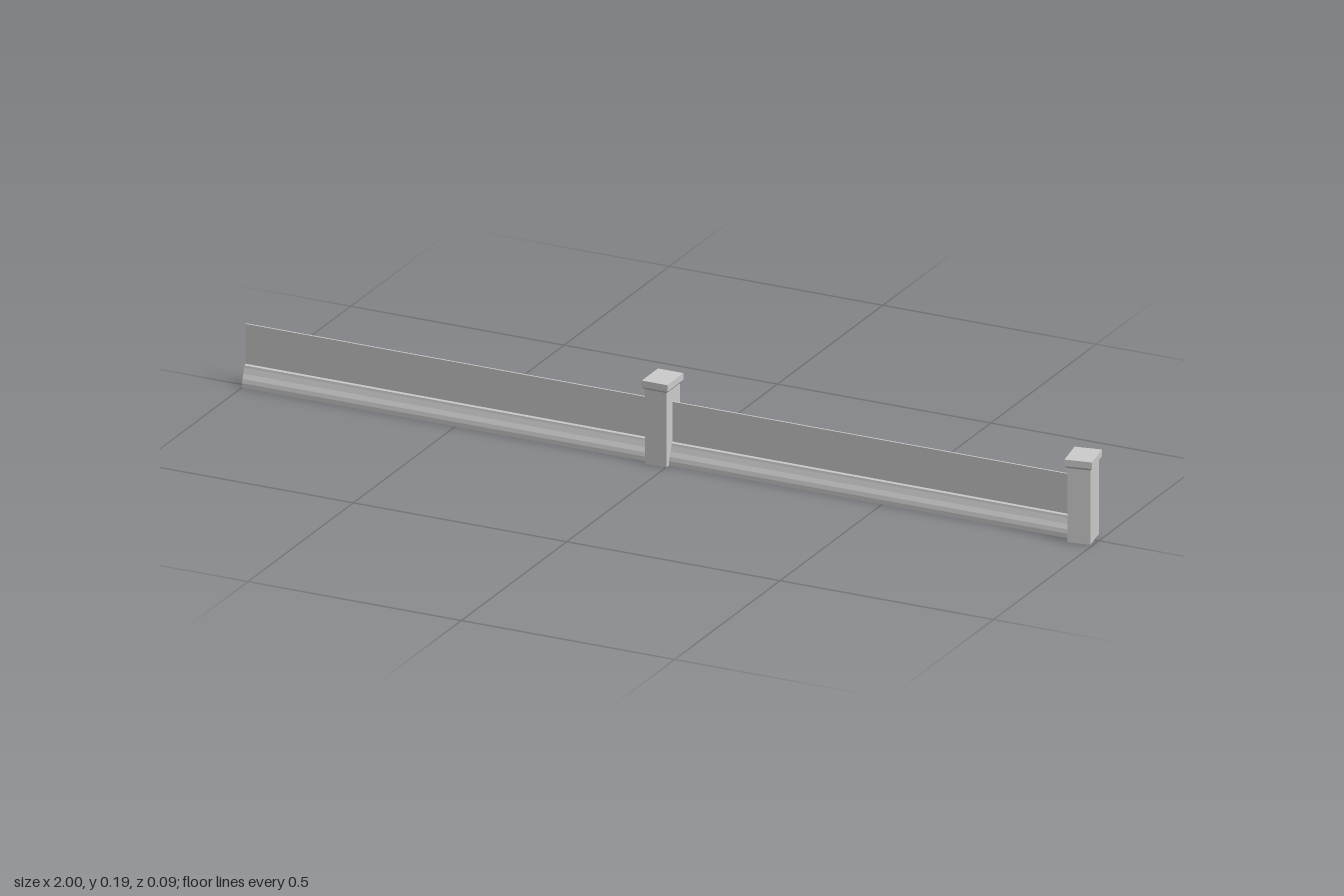
import * as THREE from 'three';

// Sharp-edged surface from rows of points; each row has the same length
function loft(rows) {
  const pos = [];
  for (let i = 0; i + 1 < rows.length; i++) {
    for (let j = 0; j + 1 < rows[i].length; j++) {
      const a = rows[i][j], b = rows[i][j + 1], c = rows[i + 1][j + 1], d = rows[i + 1][j];
      pos.push(...a, ...b, ...c, ...a, ...c, ...d);
    }
  }
  const g = new THREE.BufferGeometry();
  g.setAttribute('position', new THREE.Float32BufferAttribute(pos, 3));
  g.computeVertexNormals();
  return g;
}

// Stack of centred rectangles [width, depth, y], open at the bottom
function rectStack(levels) {
  return loft(levels.map(([w, d, y]) =>
    [[1, 1], [1, -1], [-1, -1], [-1, 1], [1, 1]].map(([sx, sz]) => [sx * w / 2, y, sz * d / 2])));
}

export function createModel() {
  const model = new THREE.Group();
  model.name = 'lowWall';
  const grey = new THREE.MeshStandardMaterial({ color: 0xcccccc, side: THREE.DoubleSide });
  grey.name = 'light grey';

  const add = (parent, name, geometry) => {
    const mesh = new THREE.Mesh(geometry, grey);
    mesh.name = name;
    parent.add(mesh);
  };

  // Wall section: thin panel on a flared moulded base, [half depth, y]
  const wallZ = -0.003;
  const half = [[0.019, 0], [0.019, 0.01], [0.017, 0.019], [0.012, 0.029], [0.008, 0.041],
    [0.007, 0.046], [0.002, 0.048], [0.002, 0.138]];
  const section = [...half, ...half.slice().reverse().map(([z, y]) => [-z, y])];

  // The free left end is mitred behind the panel
  const wall = (name, x0, x1, mitre) => {
    const start = section.map(([z, y]) => [x0 + mitre * Math.max(0, -z - 0.002), y, z + wallZ]);
    const end = section.map(([z, y]) => [x1, y, z + wallZ]);
    add(model, name, loft([end, start]));
  };
  wall('rightWall', -1, -0.045, 1);
  wall('leftWall', -0.003, 0.945, 0);

  // Hollow posts with flared square caps
  const post = (name, x, z, turn) => {
    const group = new THREE.Group();
    group.name = name;
    group.position.set(x, 0, z);
    group.rotation.y = turn;
    add(group, name + 'Shaft', rectStack([[0.05, 0.064, 0], [0.05, 0.064, 0.168]]));
    add(group, name + 'Cap', rectStack([[0.05, 0.064, 0.168], [0.06, 0.077, 0.174],
      [0.06, 0.077, 0.189], [0, 0, 0.189]]));
    model.add(group);
  };
  post('middlePost', -0.024, -0.004, 0);
  post('endPost', 0.964, 0.001, THREE.MathUtils.degToRad(10));

  return model;
}
